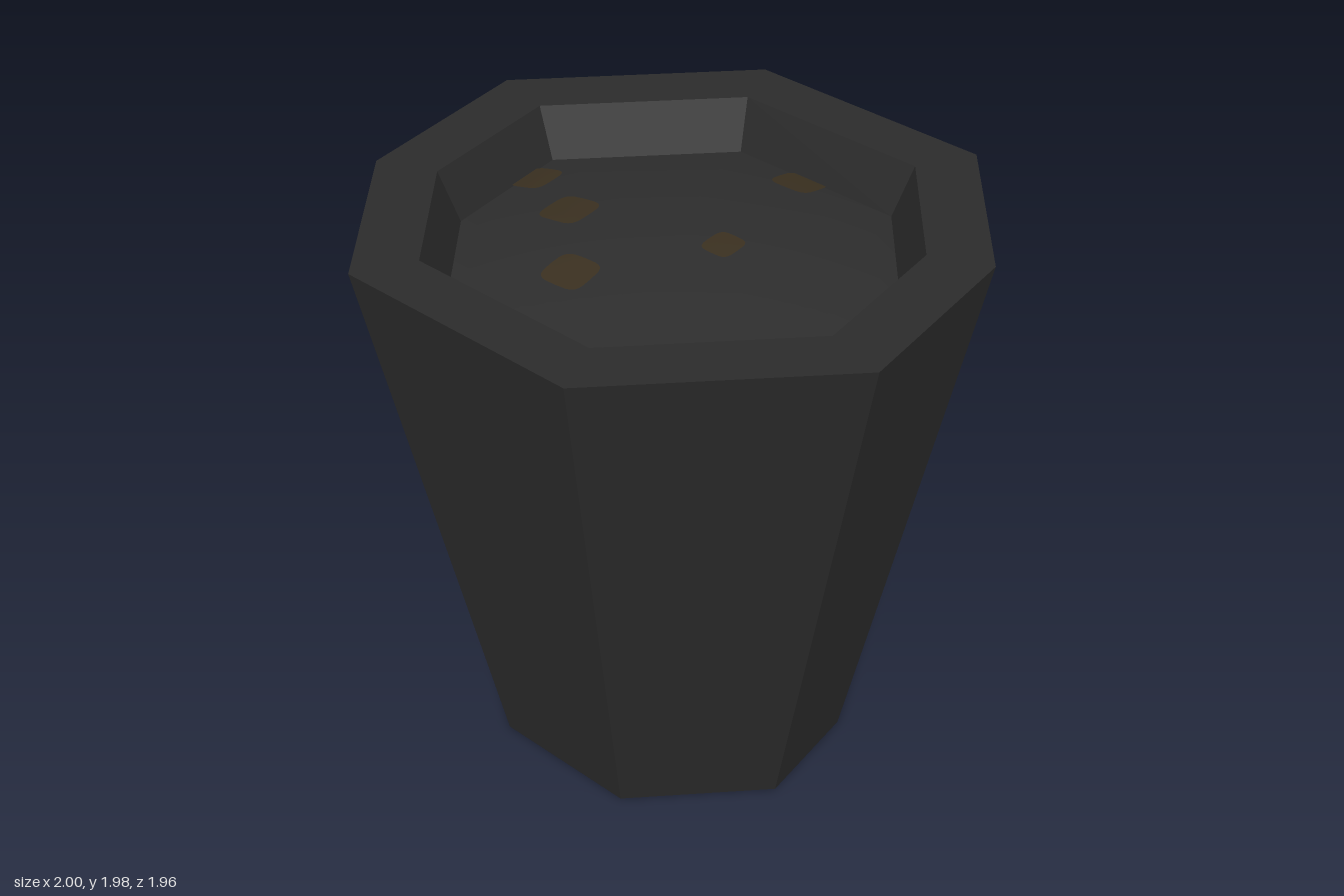
import * as THREE from 'three';

const H = 1.98, SOIL_EDGE = 1.81, SOIL_RISE = 0.09;

// Corners of the eight-sided outline at the rim, as [x, z]
const OUTLINE = [[1, 0], [0.805, 0.635], [0, 0.98], [-0.805, 0.635],
  [-1, 0], [-0.805, -0.635], [0, -0.98], [0.805, -0.635]];

const ring = (scale, y) => OUTLINE.map(([x, z]) => new THREE.Vector3(x * scale, y, z * scale));

function geometryFrom(positions, index) {
  const g = new THREE.BufferGeometry();
  g.setAttribute('position', new THREE.Float32BufferAttribute(positions, 3));
  if (index) g.setIndex(index);
  g.computeVertexNormals();
  return g;
}

// Faceted band of flat panels joining two rings
function band(lower, upper) {
  const pos = [];
  for (let i = 0; i < 8; i++) {
    const j = (i + 1) % 8;
    for (const p of [lower[i], upper[i], upper[j], lower[i], upper[j], lower[j]]) pos.push(p.x, p.y, p.z);
  }
  return geometryFrom(pos);
}

// How far a point lies from the centre towards the outline (1 = on it)
function gauge(x, z) {
  let n = 0;
  for (let i = 0; i < 8; i++) {
    const [ax, az] = OUTLINE[i], [bx, bz] = OUTLINE[(i + 1) % 8];
    const nx = bz - az, nz = ax - bx;
    n = Math.max(n, (x * nx + z * nz) / (ax * nx + az * nz));
  }
  return n;
}

function soilHeight(x, z) {
  const n = gauge(x, z) / 0.72;
  return SOIL_EDGE + SOIL_RISE * (1 - n * n);
}

// Smooth surface made of concentric loops; at(t, k) gives [x, y, z]
function disc(loops, sides, at) {
  const pos = [...at(0, 0)], index = [];
  for (let r = 1; r <= loops; r++) {
    for (let k = 0; k < sides; k++) {
      pos.push(...at(r / loops, k));
      const a = 1 + (r - 1) * sides + k, b = 1 + (r - 1) * sides + (k + 1) % sides;
      if (r === 1) index.push(0, b, a);
      else index.push(a - sides, b - sides, b, a - sides, b, a);
    }
  }
  return geometryFrom(pos, index);
}

export function createModel() {
  const model = new THREE.Group();
  const potMaterial = new THREE.MeshStandardMaterial({ color: 0x2b2b2b, side: THREE.DoubleSide });
  potMaterial.name = 'charcoal pot';
  const soilMaterial = new THREE.MeshStandardMaterial({ color: 0x2d2d2d, side: THREE.DoubleSide });
  soilMaterial.name = 'dark soil';
  const fleckMaterial = new THREE.MeshStandardMaterial({ color: 0x3a3020, side: THREE.DoubleSide });
  fleckMaterial.name = 'brown flecks';

  const add = (name, geometry, material) => {
    const mesh = new THREE.Mesh(geometry, material);
    mesh.name = name;
    model.add(mesh);
  };

  // Pot: tapered outer wall open at the bottom, flat rim, short inner wall
  add('outerWall', band(ring(0.605, 0), ring(1, H)), potMaterial);
  add('rim', band(ring(1, H), ring(0.79, H)), potMaterial);
  add('innerWall', band(ring(0.79, H), ring(0.72, SOIL_EDGE)), potMaterial);

  // Gently domed soil
  add('soil', disc(12, 8, (t, k) => {
    const x = OUTLINE[k][0] * 0.72 * t, z = OUTLINE[k][1] * 0.72 * t;
    return [x, SOIL_EDGE + SOIL_RISE * (1 - t * t), z];
  }), soilMaterial);

  // Rounded square flecks lying on the soil: x, z, half width, half depth
  const flecks = [
    [0.25, -0.535, 0.075, 0.075],
    [-0.575, -0.30, 0.068, 0.072],
    [-0.375, -0.07, 0.08, 0.08],
    [0.16, 0.01, 0.053, 0.063],
    [-0.245, 0.27, 0.078, 0.073],
  ];
  const turn = 0.34, sides = 24;
  const round = v => Math.sign(v) * Math.sqrt(Math.abs(v));
  flecks.forEach(([cx, cz, w, d], i) => {
    add(`fleck${i + 1}`, disc(4, sides, (t, k) => {
      const a = k / sides * Math.PI * 2;
      const u = w * t * round(Math.cos(a)), v = d * t * round(Math.sin(a));
      const x = cx + u * Math.cos(turn) - v * Math.sin(turn);
      const z = cz + u * Math.sin(turn) + v * Math.cos(turn);
      return [x, soilHeight(x, z) + 0.006, z];
    }), fleckMaterial);
  });

  return model;
}
